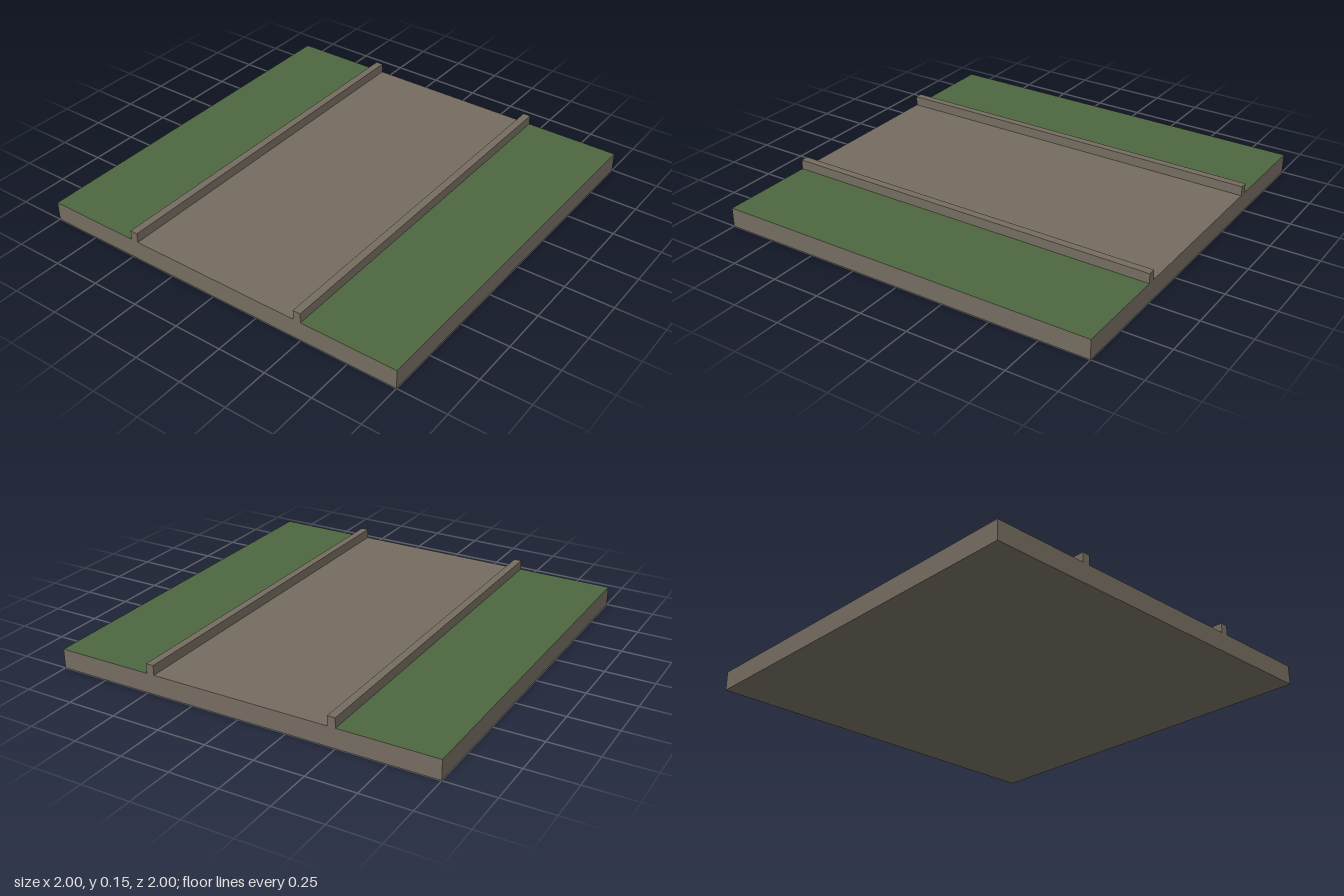
import * as THREE from 'three';

export function createModel() {
  const model = new THREE.Group();
  model.name = 'roadTile';

  const stone = new THREE.MeshStandardMaterial({ name: 'stone', color: 0x756c60 });
  const grass = new THREE.MeshStandardMaterial({ name: 'grass', color: 0x4d6740 });

  // Slab: four strips along z, so the outer two strips of its top can be grass
  const slabGeometry = new THREE.BoxGeometry(2, 0.1, 2, 1, 1, 4);
  const top = slabGeometry.groups[2].start;
  slabGeometry.clearGroups();
  slabGeometry.addGroup(0, top, 0); // left and right sides
  slabGeometry.addGroup(top, 6, 1); // back verge
  slabGeometry.addGroup(top + 6, 12, 0); // road
  slabGeometry.addGroup(top + 18, 6, 1); // front verge
  slabGeometry.addGroup(top + 24, Infinity, 0); // underside, front and back
  const slab = new THREE.Mesh(slabGeometry, [stone, grass]);
  slab.name = 'slab';
  slab.position.y = 0.05;
  model.add(slab);

  // Raised kerbs along both edges of the road
  const kerbGeometry = new THREE.BoxGeometry(2, 0.05, 0.04);
  for (const side of [1, -1]) {
    const kerb = new THREE.Mesh(kerbGeometry, stone);
    kerb.name = side > 0 ? 'frontKerb' : 'backKerb';
    kerb.position.set(0, 0.125, side * 0.48);
    model.add(kerb);
  }

  return model;
}
